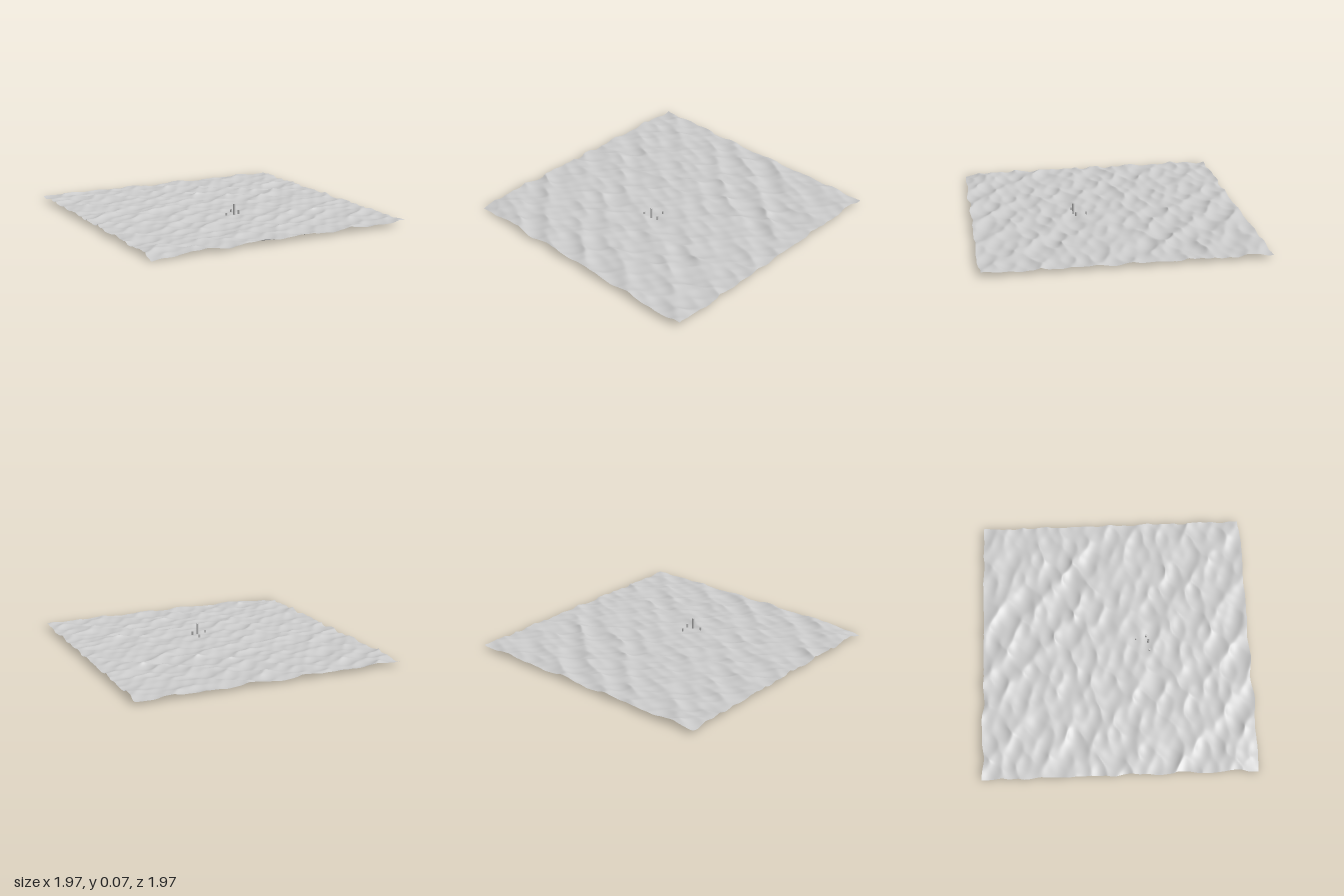
import * as THREE from 'three';

const SIZE = 1.4;      // side of the square sheet
const SEGMENTS = 160;
const TURN = -0.664;   // the sheet is turned about y

// Small seeded generator
function seeded(seed) {
  return () => {
    seed = (seed * 16807) % 2147483647;
    return seed / 2147483647;
  };
}

// Wave trains that mostly travel along the sheet's local x
function makeWaves() {
  const rand = seeded(4217);
  const waves = [];
  for (let i = 0; i < 22; i++) {
    const length = 0.06 + 0.16 * (i / 21) ** 1.5;
    const angle = (rand() - 0.5) * 2.1;
    waves.push({
      dx: Math.cos(angle),
      dz: Math.sin(angle),
      k: (2 * Math.PI) / length,
      amp: 0.0005 + 0.008 * length,
      phase: rand() * Math.PI * 2,
    });
  }
  return waves;
}

// Choppy sheet: points rise and also slide towards the crests
function choppySheet() {
  const geometry = new THREE.PlaneGeometry(SIZE, SIZE, SEGMENTS, SEGMENTS).rotateX(-Math.PI / 2);
  const waves = makeWaves();
  const pos = geometry.attributes.position;
  for (let i = 0; i < pos.count; i++) {
    const x = pos.getX(i);
    const z = pos.getZ(i);
    let y = 0, sx = 0, sz = 0;
    for (const w of waves) {
      const t = w.k * (w.dx * x + w.dz * z) + w.phase;
      y += w.amp * Math.sin(t);
      sx += w.amp * w.dx * Math.cos(t);
      sz += w.amp * w.dz * Math.cos(t);
    }
    pos.setXYZ(i, x + 0.9 * sx, y, z + 1.3 * sz);
  }

  // Fit the height range, and dip the front corner to the ground
  geometry.computeBoundingBox();
  const { min, max } = geometry.boundingBox;
  const half = SIZE / 2;
  for (let i = 0; i < pos.count; i++) {
    const y = 0.006 + 0.03 * (pos.getY(i) - min.y) / (max.y - min.y);
    const d = Math.hypot(pos.getX(i) - half, pos.getZ(i) - half);
    pos.setY(i, y * Math.min(1, d / 0.08));
  }
  geometry.computeVertexNormals();
  return geometry;
}

export function createModel() {
  const model = new THREE.Group();
  model.name = 'waterWithPosts';
  const material = new THREE.MeshStandardMaterial({ color: 0xcccccc });

  const water = new THREE.Mesh(
    choppySheet(),
    new THREE.MeshStandardMaterial({ color: 0xcccccc, side: THREE.DoubleSide })
  );
  water.name = 'waterSurface';
  water.rotation.y = TURN;
  model.add(water);

  // One tall post with low stumps around it: x, z, top, radius
  const posts = [
    ['tallPost', 0.143, 0.095, 0.075, 0.006],
    ['stump', 0.155, 0.063, 0.038, 0.006],
    ['stump', 0.103, 0.04, 0.034, 0.005],
    ['stump', 0.117, 0.135, 0.034, 0.005],
  ];
  for (const [name, x, z, top, radius] of posts) {
    const bottom = 0.012;
    const post = new THREE.Mesh(
      new THREE.CylinderGeometry(radius, radius, top - bottom, 10),
      material
    );
    post.name = name;
    post.position.set(x, (top + bottom) / 2, z);
    model.add(post);
  }
  return model;
}
